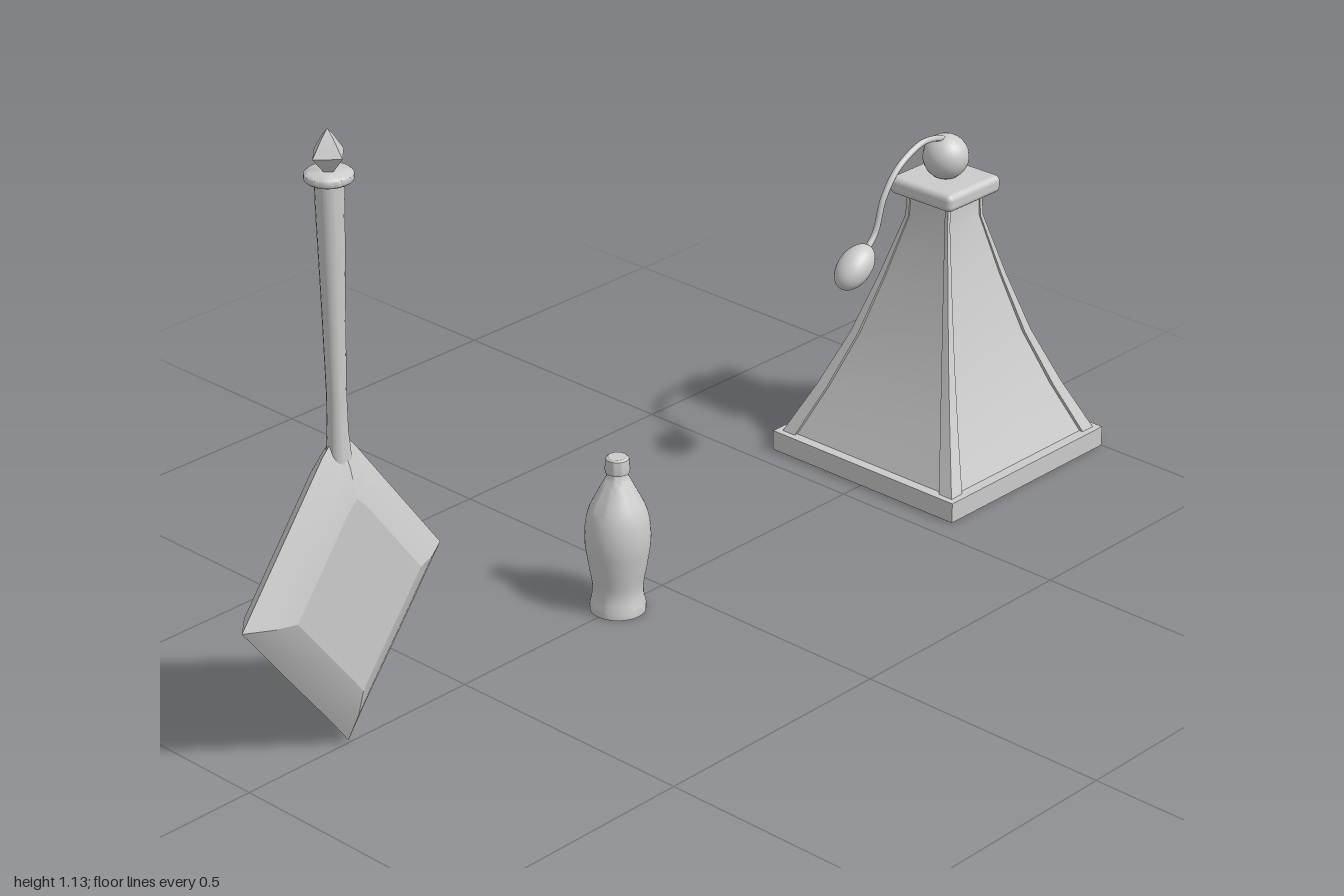
import * as THREE from 'three';
import { toCreasedNormals } from 'three/addons/utils/BufferGeometryUtils.js';
import { RoundedBoxGeometry } from 'three/addons/geometries/RoundedBoxGeometry.js';

const material = new THREE.MeshStandardMaterial({ color: 0xcccccc, side: THREE.DoubleSide });

function part(parent, name, geometry, x = 0, y = 0, z = 0) {
  const mesh = new THREE.Mesh(geometry, material);
  mesh.name = name;
  mesh.position.set(x, y, z);
  parent.add(mesh);
  return mesh;
}

// Skins a stack of counter-clockwise [x, y] outlines along +z and caps both ends
function loft(rings, heights, crease = 0.3) {
  const n = rings[0].length;
  const pos = [];
  const index = [];
  rings.forEach((ring, r) => ring.forEach(([x, y]) => pos.push(x, y, heights[r])));
  for (let r = 0; r < rings.length - 1; r++) {
    for (let i = 0; i < n; i++) {
      const a = r * n + i, b = r * n + (i + 1) % n;
      index.push(a, b, b + n, a, b + n, a + n);
    }
  }
  const last = rings.length - 1;
  const bottom = pos.length / 3;
  pos.push(0, 0, heights[0], 0, 0, heights[last]);
  for (let i = 0; i < n; i++) {
    const j = (i + 1) % n;
    index.push(bottom, j, i, bottom + 1, last * n + i, last * n + j);
  }
  const g = new THREE.BufferGeometry();
  g.setAttribute('position', new THREE.Float32BufferAttribute(pos, 3));
  g.setIndex(index);
  return toCreasedNormals(g, crease);
}

function lathe(points, segments = 32, crease = 0.6) {
  const g = new THREE.LatheGeometry(points.map(([r, y]) => new THREE.Vector2(r, y)), segments);
  return toCreasedNormals(g, crease);
}

// Hand mirror: bevelled diamond head, tapered handle, collar and finial
function createMirror() {
  const mirror = new THREE.Group();
  mirror.name = 'handMirror';
  mirror.position.x = -0.775;

  const right = [[0, -0.295], [0.04, -0.24], [0.135, -0.118], [0.225, 0], [0.128, 0.13], [0.035, 0.255], [0, 0.29]];
  const outline = [...right, ...right.slice(1, -1).reverse().map(([x, y]) => [-x, y])];
  const scaled = (s) => outline.map(([x, y]) => [x * s, y * s]);
  part(mirror, 'mirrorHead', loft([0.83, 1, 0.8, 0.62].map(scaled), [-0.038, 0, 0.028, 0.042]), 0, 0.3);

  part(mirror, 'mirrorHandle', lathe([
    [0, 0.5], [0.024, 0.52], [0.018, 0.59], [0.017, 0.66], [0.02, 0.82], [0.024, 0.98], [0.025, 1.04], [0, 1.04],
  ], 16));
  part(mirror, 'handleCollar', lathe([
    [0, 1.037], [0.036, 1.037], [0.041, 1.041], [0.041, 1.051], [0.036, 1.055], [0, 1.055],
  ], 24, 0.9));
  part(mirror, 'handleFinial', lathe([
    [0, 1.05], [0.012, 1.056], [0.034, 1.083], [0.013, 1.113], [0, 1.128],
  ], 4, 0.3));
  return mirror;
}

// Small waisted bottle with a stopper
function createSmallBottle() {
  const bottle = new THREE.Group();
  bottle.name = 'smallBottle';
  bottle.position.x = -0.115;
  const wall = new THREE.SplineCurve([
    [0.051, 0.012], [0.046, 0.045], [0.054, 0.095], [0.06, 0.145], [0.054, 0.195], [0.033, 0.24], [0.02, 0.265],
  ].map(([r, y]) => new THREE.Vector2(r, y))).getPoints(24).map((p) => [p.x, p.y]);
  part(bottle, 'bottleBody', lathe([[0, 0], [0.051, 0], ...wall, [0.018, 0.278], [0, 0.278]]));
  part(bottle, 'bottleStopper', lathe([
    [0, 0.274], [0.022, 0.274], [0.023, 0.28], [0.021, 0.301], [0.017, 0.304], [0, 0.304],
  ]));
  return bottle;
}

// Square perfume bottle with recessed panels, hose and squeeze bulb
function createAtomizer() {
  const atomizer = new THREE.Group();
  atomizer.name = 'perfumeAtomizer';
  atomizer.position.x = 0.775;

  part(atomizer, 'atomizerBase', new THREE.BoxGeometry(0.45, 0.04, 0.45), 0, 0.02, 0);

  // Square section whose four sides are sunk between corner posts
  const section = (w) => {
    const p = w * 0.855, s = w - Math.min(0.008, w * 0.06);
    const side = [[w, -w], [w, -p], [s, -p], [s, p], [w, p]];
    const ring = [];
    for (let k = 0; k < 4; k++) {
      const c = [1, 0, -1, 0][k], n = [0, 1, 0, -1][k];
      side.forEach(([x, y]) => ring.push([x * c - y * n, x * n + y * c]));
    }
    return ring;
  };
  const body = loft([0.212, 0.166, 0.122, 0.085, 0.052, 0.05].map(section), [0.04, 0.14, 0.25, 0.37, 0.49, 0.54]);
  part(atomizer, 'atomizerBody', body.rotateX(-Math.PI / 2));

  part(atomizer, 'atomizerCollar', new RoundedBoxGeometry(0.152, 0.035, 0.152, 3, 0.012), 0, 0.553, 0);
  part(atomizer, 'atomizerBall', new THREE.SphereGeometry(0.044, 24, 16), 0, 0.61, 0);

  const path = new THREE.CatmullRomCurve3([
    [0, 0.645], [-0.035, 0.656], [-0.075, 0.657], [-0.14, 0.626], [-0.178, 0.578], [-0.2, 0.515], [-0.225, 0.488],
  ].map(([x, y]) => new THREE.Vector3(x, y, 0)));
  part(atomizer, 'hose', new THREE.TubeGeometry(path, 40, 0.006, 8));

  const bulb = part(atomizer, 'squeezeBulb', new THREE.SphereGeometry(1, 24, 16), -0.256, 0.465, 0);
  bulb.scale.set(0.032, 0.05, 0.032);
  bulb.rotation.z = -0.95;
  return atomizer;
}

export function createModel() {
  const model = new THREE.Group();
  model.name = 'vanitySet';
  model.add(createMirror(), createSmallBottle(), createAtomizer());
  return model;
}
